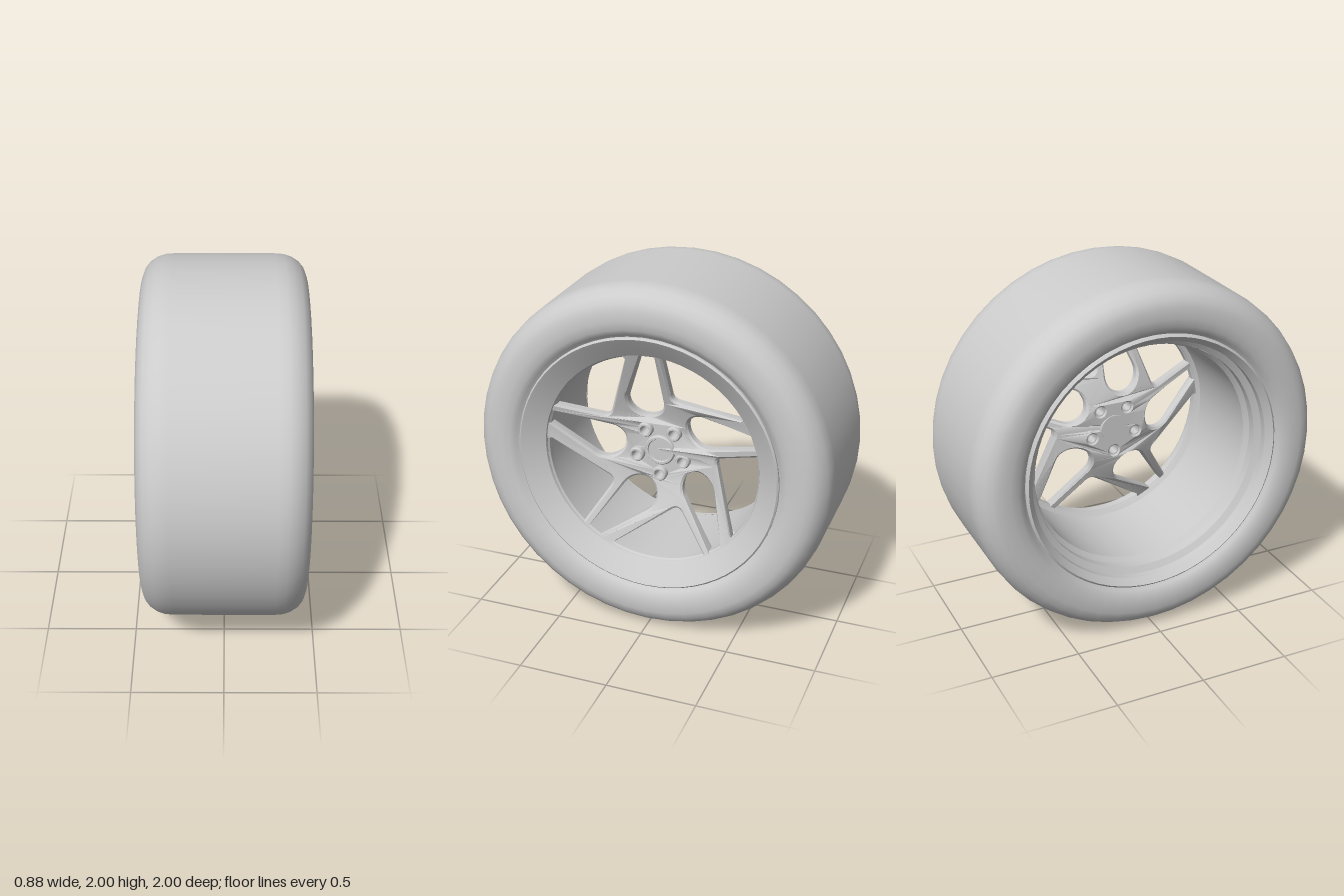
import * as THREE from 'three';
import { toCreasedNormals } from 'three/addons/utils/BufferGeometryUtils.js';

const material = new THREE.MeshStandardMaterial({ color: 0xcccccc });

function addMesh(parent, geometry, name) {
  const mesh = new THREE.Mesh(geometry, material);
  mesh.name = name;
  parent.add(mesh);
  return mesh;
}

// Lathe a closed [radius, x] profile around the x axle
function axleLathe(profile, segments, crease) {
  const points = [...profile, profile[0]].map(([r, x]) => new THREE.Vector2(r, x));
  const geometry = new THREE.LatheGeometry(points, segments).rotateZ(-Math.PI / 2);
  return crease ? toCreasedNormals(geometry, crease) : geometry;
}

// Narrow window with a round inner end
function roundWindow() {
  const p = new THREE.Path();
  const end = THREE.MathUtils.degToRad(160);
  p.moveTo(0.025, 0.6);
  p.lineTo(0.03, 0.295);
  p.absarc(-0.07, 0.295, 0.1, 0, end, true);
  p.lineTo(-0.06, 0.597);
  p.absarc(0, 0, 0.6, Math.atan2(0.597, -0.06), Math.atan2(0.6, 0.025), true);
  return p.getPoints(16);
}

// Wide three-cornered window
function wideWindow() {
  const p = new THREE.Path();
  p.moveTo(0.065, 0.596);
  p.lineTo(0.08, 0.36);
  p.quadraticCurveTo(0.083, 0.319, 0.125, 0.318);
  p.lineTo(0.512, 0.313);
  p.absarc(0, 0, 0.6, Math.atan2(0.313, 0.512), Math.atan2(0.596, 0.065), false);
  return p.getPoints(14);
}

function rotatedPath(points, angle) {
  const origin = new THREE.Vector2();
  return new THREE.Path(points.map((q) => q.clone().rotateAround(origin, angle)));
}

// Pierced wheel face, dished towards the hub
function spokeFace() {
  const bevel = 0.012;
  const depth = 0.04;
  const shape = new THREE.Shape();
  shape.absarc(0, 0, 0.635, 0, Math.PI * 2, false);
  for (let i = 0; i < 5; i++) {
    const angle = (i * Math.PI * 2) / 5;
    shape.holes.push(rotatedPath(roundWindow(), angle), rotatedPath(wideWindow(), angle));
    const bolt = new THREE.Path();
    const a = angle - Math.PI / 2;
    bolt.absarc(0.14 * Math.cos(a), 0.14 * Math.sin(a), 0.026, 0, Math.PI * 2, true);
    shape.holes.push(bolt);
  }
  const geometry = new THREE.ExtrudeGeometry(shape, {
    depth, bevelThickness: bevel, bevelSize: bevel, bevelOffset: -bevel,
    bevelSegments: 1, curveSegments: 24,
  });
  const pos = geometry.attributes.position;
  for (let i = 0; i < pos.count; i++) {
    const r = Math.hypot(pos.getX(i), pos.getY(i));
    const dish = 0.16 * Math.max(0, (r - 0.18) / 0.43);
    pos.setZ(i, pos.getZ(i) - depth - bevel + 0.17 + dish);
  }
  geometry.rotateY(Math.PI / 2);
  return toCreasedNormals(geometry, 0.45);
}

export function createModel() {
  const model = new THREE.Group();
  model.name = 'wheel';
  const wheel = new THREE.Group();
  wheel.name = 'wheelAssembly';
  wheel.position.y = 1;
  model.add(wheel);

  // Tyre: half profile from bead to crown, mirrored across the middle
  const half = [
    [0.7, 0.38], [0.735, 0.395], [0.755, 0.418], [0.785, 0.435], [0.83, 0.442], [0.885, 0.44],
    [0.925, 0.426], [0.957, 0.4], [0.983, 0.36], [0.996, 0.32], [1, 0.27],
  ];
  const tyre = [...half.map(([r, x]) => [r, -x]), ...half.slice().reverse()];
  addMesh(wheel, axleLathe(tyre, 48), 'tyre');

  // Rim: outer barrel, sloping front lip, inner barrel and stepped back lip
  const rim = [
    [0.725, -0.42], [0.737, -0.41], [0.737, -0.39], [0.69, -0.37], [0.65, -0.3],
    [0.65, 0.28], [0.7, 0.36], [0.737, 0.385], [0.737, 0.41], [0.728, 0.418],
    [0.712, 0.408], [0.612, 0.338], [0.608, 0.328], [0.608, 0.265], [0.63, 0.25],
    [0.63, -0.25], [0.655, -0.275], [0.655, -0.325], [0.69, -0.345], [0.69, -0.385],
  ];
  addMesh(wheel, axleLathe(rim, 64, 0.5), 'rim');

  addMesh(wheel, spokeFace(), 'spokes');

  // Centre cap with a shallow round recess
  const cap = [[0, 0.1], [0.08, 0.1], [0.087, 0.185], [0.08, 0.195], [0.068, 0.195], [0.064, 0.187], [0, 0.187]];
  addMesh(wheel, axleLathe(cap, 32, 0.5), 'centreCap');

  // Hollow wheel nuts
  const nut = [[0.024, 0.115], [0.042, 0.115], [0.042, 0.195], [0.036, 0.205], [0.027, 0.205], [0.024, 0.195]];
  const nutGeometry = axleLathe(nut, 16, 0.5);
  for (let i = 0; i < 5; i++) {
    const a = (i * Math.PI * 2) / 5 - Math.PI / 2;
    const mesh = addMesh(wheel, nutGeometry, 'wheelNut');
    mesh.position.set(0, 0.14 * Math.sin(a), -0.14 * Math.cos(a));
  }
  return model;
}
